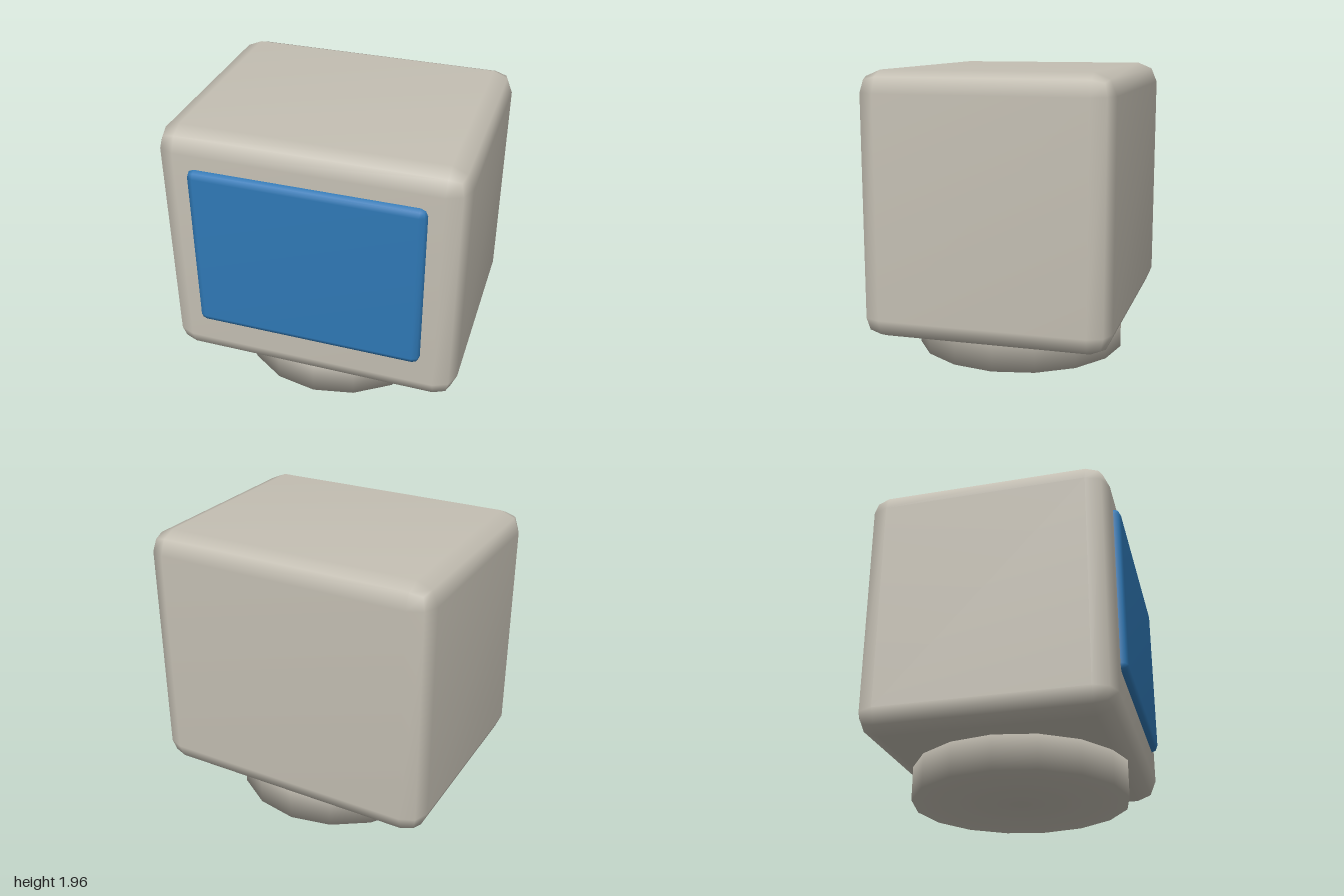
import * as THREE from 'three';
import { mergeVertices } from 'three/addons/utils/BufferGeometryUtils.js';
import { RoundedBoxGeometry } from 'three/addons/geometries/RoundedBoxGeometry.js';

// Weld all corners so the shading runs smoothly around every edge
function soften(geometry) {
  geometry.deleteAttribute('normal');
  geometry.deleteAttribute('uv');
  geometry.clearGroups();
  const welded = mergeVertices(geometry, 1e-4);
  welded.computeVertexNormals();
  return welded;
}

export function createModel() {
  const model = new THREE.Group();
  model.name = 'monitor';

  const casing = new THREE.MeshStandardMaterial({ color: 0xc4bfb3 });
  casing.name = 'casing beige';
  const glass = new THREE.MeshStandardMaterial({ color: 0x2f78b5 });
  glass.name = 'screen blue';

  function add(name, geometry, material, x, y, z) {
    const mesh = new THREE.Mesh(soften(geometry), material);
    mesh.name = name;
    mesh.position.set(x, y, z);
    model.add(mesh);
  }

  // Boxy housing with chamfer-like rounded edges
  add('housing', new RoundedBoxGeometry(2, 1.73, 1.635, 1, 0.14), casing, 0, 1.095, -0.0225);

  // Screen standing slightly proud of the housing front
  add('screen', new RoundedBoxGeometry(1.54, 1.18, 0.2, 1, 0.05), glass, 0, 1.14, 0.74);

  // Round foot, its top sunk into the housing
  add('foot', new THREE.CylinderGeometry(0.728, 0.728, 0.3, 16), casing, 0, 0.15, -0.019);

  return model;
}
